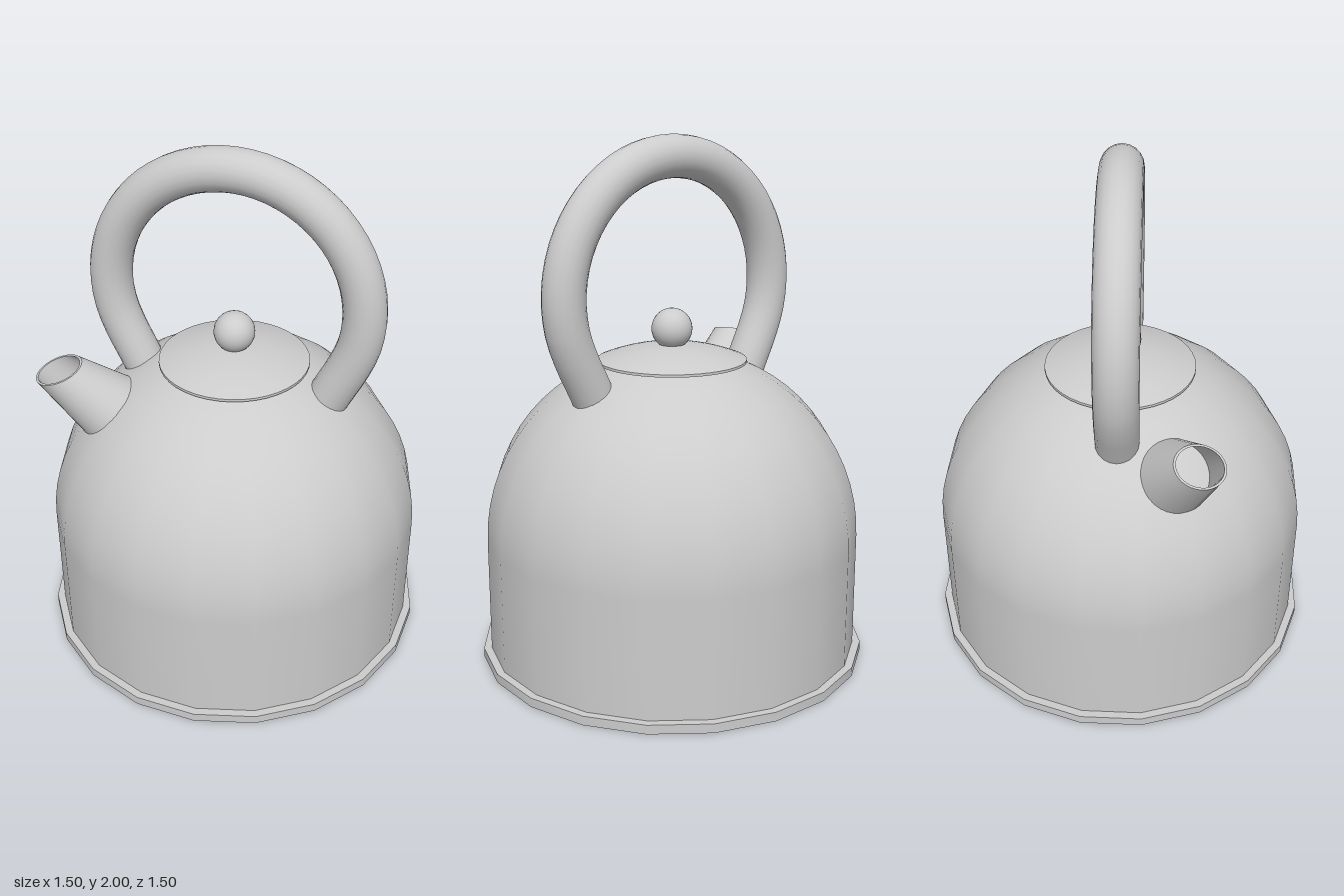
import * as THREE from 'three';
import { toCreasedNormals, mergeGeometries } from 'three/addons/utils/BufferGeometryUtils.js';

const steel = new THREE.MeshStandardMaterial({ color: 0xcccccc, side: THREE.DoubleSide });
steel.name = 'brushed grey';

const v2 = (x, y) => new THREE.Vector2(x, y);

export function createModel() {
  const kettle = new THREE.Group();
  kettle.name = 'kettle';
  const add = (name, geometry) => {
    const mesh = new THREE.Mesh(geometry, steel);
    mesh.name = name;
    kettle.add(mesh);
    return mesh;
  };

  // Body: straight wall running into a hemispherical dome, open underneath
  const R = 0.72, shoulder = 0.48;
  const bodyProfile = [v2(R, 0.01)];
  for (let i = 0; i <= 16; i++) {
    const a = (i / 16) * Math.PI / 2;
    bodyProfile.push(v2(Math.max(R * Math.cos(a), 0), shoulder + R * Math.sin(a)));
  }
  add('body', new THREE.LatheGeometry(bodyProfile, 20));

  // Base rim: a flat ring around the foot of the wall
  const rimProfile = [v2(0.715, 0), v2(0.75, 0), v2(0.75, 0.035), v2(0.715, 0.035), v2(0.715, 0)];
  add('baseRim', toCreasedNormals(new THREE.LatheGeometry(rimProfile, 20), 0.6));

  // Lid: thin disc with a shallow domed top
  const lidProfile = [v2(0, 1.155), v2(0.285, 1.155), v2(0.285, 1.165)];
  for (let i = 1; i <= 8; i++) {
    const r = 0.285 * (1 - i / 8);
    lidProfile.push(v2(r, 1.165 + 0.057 * (1 - (r / 0.285) ** 2)));
  }
  add('lid', toCreasedNormals(new THREE.LatheGeometry(lidProfile, 40), 0.6));

  // Knob
  add('knob', new THREE.SphereGeometry(0.078, 24, 16)).position.y = 1.28;

  // Handle: round arch whose legs run straight into the dome, turned about y
  const archR = 0.49, archY = 1.43, endAngle = -26 * Math.PI / 180;
  const path = [];
  const leg = (side) => [0.18, 0.09].map((d) => new THREE.Vector3(
    side * (archR * Math.cos(endAngle) + d * Math.sin(endAngle)),
    archY + archR * Math.sin(endAngle) - d * Math.cos(endAngle), 0));
  path.push(...leg(1));
  for (let i = 0; i <= 20; i++) {
    const a = endAngle + (i / 20) * (Math.PI - 2 * endAngle);
    path.push(new THREE.Vector3(archR * Math.cos(a), archY + archR * Math.sin(a), 0));
  }
  path.push(...leg(-1).reverse());
  const handle = add('handle', new THREE.TubeGeometry(new THREE.CatmullRomCurve3(path), 48, 0.08, 20));
  handle.rotation.y = -26 * Math.PI / 180;

  // Spout: tapered tube lofted between two tilted circles, with a thin lip
  const base = { x: -0.4925, y: 0.9925, r: 0.133, tilt: Math.PI / 4 };
  const tip = { x: -0.657, y: 1.155, r: 0.0925, tilt: 0.33 };
  const onCircle = (c, angle, inset) => {
    const r = c.r - inset, u = r * Math.sin(angle);
    return new THREE.Vector3(c.x + u * Math.cos(c.tilt), c.y + u * Math.sin(c.tilt), r * Math.cos(angle));
  };
  // Each wall runs from (t0, inset0) at the bottom to (t1, inset1) at the top
  const wall = (t0, inset0, t1, inset1) => {
    const g = new THREE.CylinderGeometry(1, 1, 1, 32, 1, true);
    const p = g.attributes.position;
    for (let i = 0; i < p.count; i++) {
      const angle = Math.atan2(p.getX(i), p.getZ(i));
      const top = p.getY(i) > 0;
      const t = top ? t1 : t0, inset = top ? inset1 : inset0;
      const v = onCircle(base, angle, inset).lerp(onCircle(tip, angle, inset), t);
      p.setXYZ(i, v.x, v.y, v.z);
    }
    return toCreasedNormals(g, 0.6);
  };
  add('spout', mergeGeometries([
    wall(-0.1, 0, 1, 0),
    wall(1, 0, 1, 0.009),
    wall(1, 0.009, -0.1, 0.009),
  ]));

  return kettle;
}
